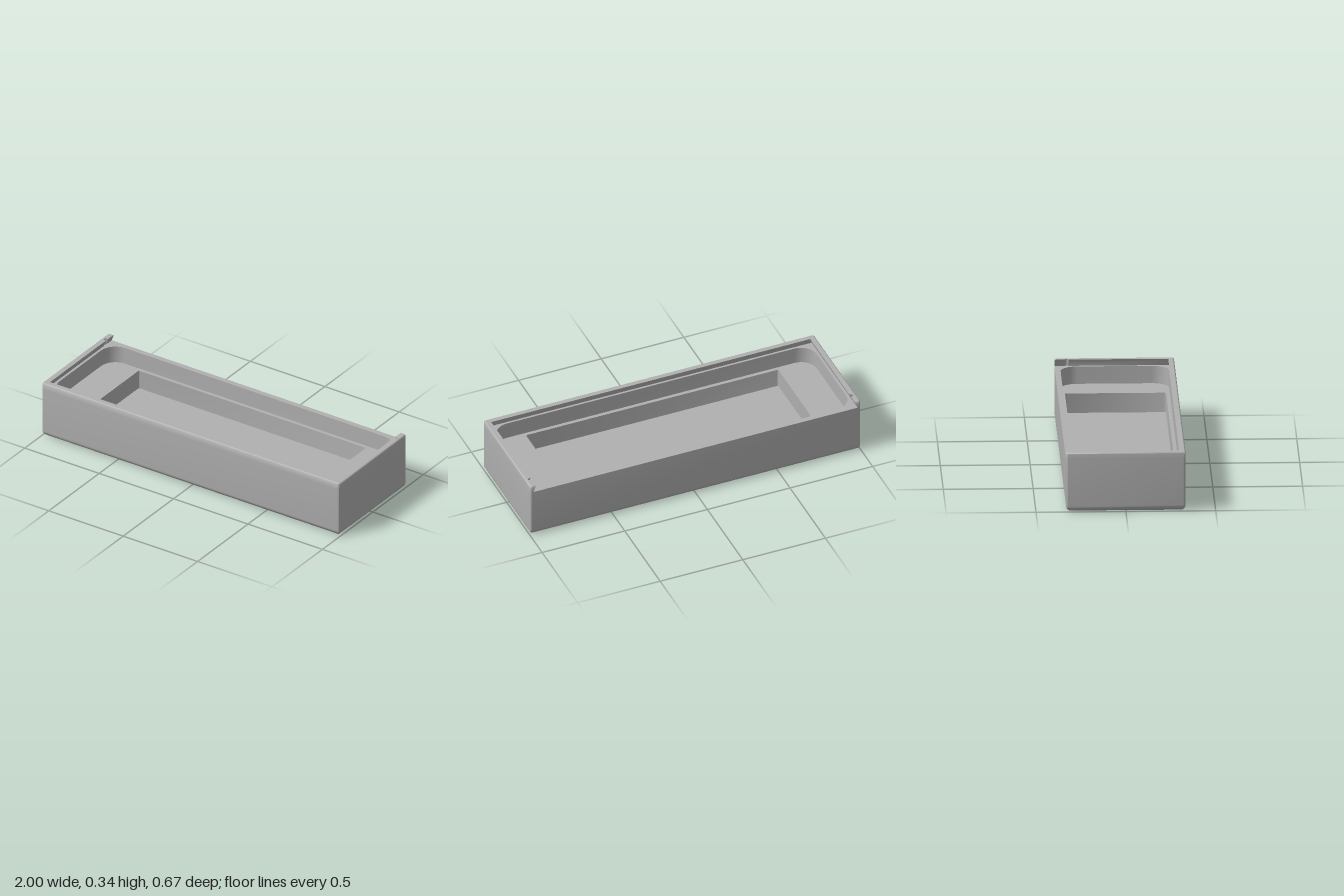
import * as THREE from 'three';
import { toCreasedNormals } from 'three/addons/utils/BufferGeometryUtils.js';

const HX = 1, HZ = 0.333, TOP = 0.34, LEDGE = 0.3;
const CORNER = 0.012, SEG = 8;

// Rounded rectangle in the xz plane, starting at the back of the +x side
function roundedRect(hx, hz, r) {
  const pts = [];
  [[1, -1], [1, 1], [-1, 1], [-1, -1]].forEach(([sx, sz], q) => {
    for (let i = 0; i <= SEG; i++) {
      const a = (q - 1 + i / SEG) * Math.PI / 2;
      pts.push([sx * (hx - r) + r * Math.cos(a), sz * (hz - r) + r * Math.sin(a)]);
    }
  });
  return pts;
}

// Skin between successive closed loops, each { y, pts }
function loft(rings) {
  const pos = [];
  for (let k = 0; k < rings.length - 1; k++) {
    const a = rings[k], b = rings[k + 1], n = a.pts.length;
    for (let j = 0; j < n; j++) {
      const m = (j + 1) % n;
      const put = (ring, i) => pos.push(ring.pts[i][0], ring.y, ring.pts[i][1]);
      put(a, j); put(b, j); put(a, m);
      put(b, j); put(b, m); put(a, m);
    }
  }
  const g = new THREE.BufferGeometry();
  g.setAttribute('position', new THREE.Float32BufferAttribute(pos, 3));
  return toCreasedNormals(g, 0.6);
}

// U-shaped rim outline, open at the back, with a snap notch on each inner side
function rimOutline(inset, undercut) {
  const hz = HZ - inset, xi = 0.965 + undercut, zi = 0.3 + undercut;
  const side = [[xi, -hz]];
  for (let i = 0; i <= 6; i++) {
    const a = i / 6 * Math.PI;
    side.push([xi + (0.985 - xi) * Math.sin(a), -0.265 - 0.011 * Math.cos(a)]);
  }
  side.push([xi, zi]);
  return [
    ...roundedRect(HX - inset, hz, CORNER - inset),
    ...side.map(([x, z]) => [-x, z]),
    ...side.slice().reverse(),
  ];
}

export function createModel() {
  const model = new THREE.Group();
  const grey = new THREE.MeshStandardMaterial({ color: 0xb0b0b0 });
  grey.name = 'grey';
  const add = (name, geometry) => {
    const mesh = new THREE.Mesh(geometry, grey);
    mesh.name = name;
    model.add(mesh);
  };

  // Tray: rounded underside, outer walls, ledge, upper cavity, inner pocket
  const rect = (hx, hz, r, y) => ({ y, pts: roundedRect(hx, hz, r) });
  const rings = [rect(0, 0, 0, 0)];
  const R = 0.035;
  for (let i = 0; i <= 7; i++) {
    const a = i / 7 * Math.PI / 2;
    const inset = R * (1 - Math.sin(a));
    rings.push(rect(HX - inset, HZ - inset, Math.max(0.002, CORNER - inset), R * (1 - Math.cos(a))));
  }
  rings.push(
    rect(HX, HZ, CORNER, LEDGE),
    rect(0.965, 0.302, 0.095, LEDGE),
    rect(0.965, 0.302, 0.095, 0.2),
    rect(0.763, 0.281, 0.01, 0.2),
    rect(0.763, 0.281, 0.01, 0.088),
    rect(0, 0, 0, 0.088),
  );
  add('tray', loft(rings));

  // Rim with undercut lid groove and softened upper edge
  const B = 0.009;
  const rim = [{ y: LEDGE, pts: rimOutline(0, 0.015) }];
  for (let i = 0; i <= 4; i++) {
    const a = i / 4 * Math.PI / 2;
    const y = TOP - B + B * Math.sin(a);
    rim.push({ y, pts: rimOutline(B * (1 - Math.cos(a)), 0.015 * (TOP - y) / (TOP - LEDGE)) });
  }
  add('lidGrooveRim', loft(rim));

  // Flat top of the rim
  const shape = new THREE.Shape(rim[rim.length - 1].pts.map(([x, z]) => new THREE.Vector2(x, -z)));
  add('rimTop', new THREE.ShapeGeometry(shape).rotateX(-Math.PI / 2).translate(0, TOP, 0));

  return model;
}
